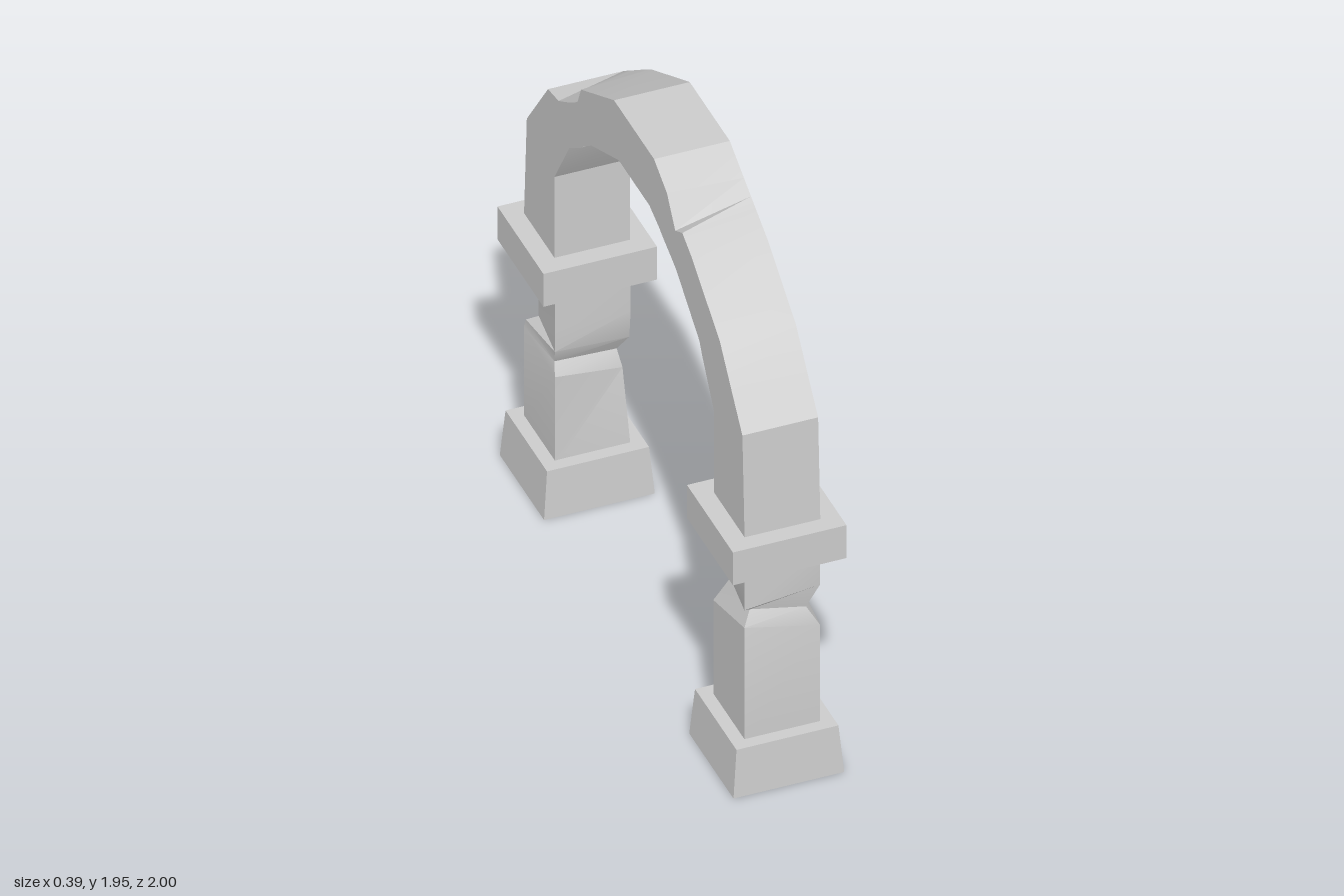
import * as THREE from 'three';
import { toCreasedNormals } from 'three/addons/utils/BufferGeometryUtils.js';

const material = new THREE.MeshStandardMaterial({ color: 0xcccccc });
const HALF_X = 0.13;

// Skin a list of four-cornered rings and close both ends.
function loft(rings) {
  const pos = [];
  const quad = (a, b, c, d) => pos.push(...a, ...b, ...c, ...a, ...c, ...d);
  for (let i = 0; i < rings.length - 1; i++) {
    for (let j = 0; j < 4; j++) {
      const k = (j + 1) % 4;
      quad(rings[i][j], rings[i][k], rings[i + 1][k], rings[i + 1][j]);
    }
  }
  const [a, b, c, d] = rings[0];
  quad(d, c, b, a);
  quad(...rings[rings.length - 1]);
  const geometry = new THREE.BufferGeometry();
  geometry.setAttribute('position', new THREE.Float32BufferAttribute(pos, 3));
  return toCreasedNormals(geometry, 0.4);
}

function addMesh(parent, name, geometry) {
  const mesh = new THREE.Mesh(geometry, material);
  mesh.name = name;
  parent.add(mesh);
  return mesh;
}

// Square ring; each dent pulls one corner inwards by [dx, dz] and lifts it by dy.
// Corner order: (+x +z), (+x -z), (-x -z), (-x +z).
const SIGNS = [[1, 1], [1, -1], [-1, -1], [-1, 1]];
function squareRing(y, dents = [], hx = HALF_X, hz = 0.132) {
  return SIGNS.map(([sx, sz], i) => {
    const [dx = 0, dz = 0, dy = 0] = dents[i] || [];
    return [sx * (hx - dx), y + dy, sz * (hz - dz)];
  });
}

// Plinth, chipped shaft and collar of one pillar.
function makePillar(name, z, shaftRings) {
  const pillar = new THREE.Group();
  pillar.name = name;
  pillar.position.z = z;
  addMesh(pillar, 'plinth', loft([
    squareRing(0, [], 0.19, 0.188),
    squareRing(0.18, [], 0.175, 0.176),
  ]));
  addMesh(pillar, 'shaft', loft(shaftRings.map(([y, dents]) => squareRing(y, dents))));
  addMesh(pillar, 'collar', new THREE.BoxGeometry(0.39, 0.13, 0.39)).position.y = 0.915;
  return pillar;
}

// Arch ring: outer and inner [z, y] on the +x side, then on the -x side if chipped there.
function archRing([outer, inner, outerLeft = outer, innerLeft = inner, dx = 0]) {
  return [
    [HALF_X, outer[1], outer[0]],
    [HALF_X - dx, inner[1], inner[0]],
    [-HALF_X, innerLeft[1], innerLeft[0]],
    [-HALF_X, outerLeft[1], outerLeft[0]],
  ];
}

export function createModel() {
  const model = new THREE.Group();
  model.name = 'stoneArch';

  model.add(makePillar('frontPillar', 0.805, [
    [0.16],
    [0.57, [[0, 0, -0.01], [0, 0, 0.06], [0, 0, -0.02], [0, 0, 0.05]]],
    [0.65, [[0.04, 0.022, -0.02], [0.02, 0.03, 0.01], [0.045, 0.035], [0.03, 0.03, 0.015]]],
    [0.7, [[0, 0, 0.02], [0, 0, -0.01], [0.01, 0.01, 0.06], [0, 0, -0.01]]],
    [0.87],
  ]));

  model.add(makePillar('backPillar', -0.803, [
    [0.16],
    [0.47, [[0.02, 0.02], [0, 0, 0.05], [0, 0, 0.06], [0, 0, 0.04]]],
    [0.53, [[0.03, 0.045], [0.005, 0, 0.005], [0.005, 0.005, 0.03], [0.01, 0.03, 0.02]]],
    [0.59, [[0, 0.012], [0, 0, -0.01], [0.035, 0.04], [0, 0, 0.02]]],
    [0.7, [[0, 0], [0.012, 0.03], [0.035, 0.035], [0, 0]]],
    [0.87, [[0, 0], [0, 0], [0.005, 0.005], [0, 0]]],
  ]));

  // Arch from the front collar over the crown to the back collar
  const archRings = [
    [[0.94, 0.95], [0.68, 0.95]],
    [[0.92, 1.37], [0.68, 1.3]],
    [[0.84, 1.47], [0.69, 1.4], undefined, [0.62, 1.39]],
    [[0.73, 1.61], [0.62, 1.465], undefined, [0.58, 1.45]],
    [[0.66, 1.66], [0.555, 1.495]],
    [[0.49, 1.78], [0.36, 1.64]],
    [[0.39, 1.833], [0.34, 1.7], [0.41, 1.822], [0.33, 1.655], 0.035],
    [[0.35, 1.854], [0.26, 1.69], [0.35, 1.79], [0.25, 1.69]],
    [[0.29, 1.886], [0.22, 1.705], [0.28, 1.89], [0.21, 1.71]],
    [[0.17, 1.95], [0.13, 1.74]],
    [[-0.17, 1.95], [-0.13, 1.74]],
    [[-0.49, 1.78], [-0.36, 1.64], [-0.45, 1.80], [-0.36, 1.64]],
    [[-0.53, 1.753], [-0.44, 1.66], [-0.48, 1.73], [-0.42, 1.597]],
    [[-0.57, 1.725], [-0.45, 1.6], [-0.55, 1.68], [-0.45, 1.57]],
    [[-0.66, 1.66], [-0.53, 1.555], [-0.64, 1.625], [-0.51, 1.527], 0.015],
    [[-0.73, 1.61], [-0.55, 1.5]],
    [[-0.91, 1.37], [-0.675, 1.3]],
    [[-0.935, 0.95], [-0.675, 0.95]],
  ];
  addMesh(model, 'arch', loft(archRings.map(archRing)));

  return model;
}
